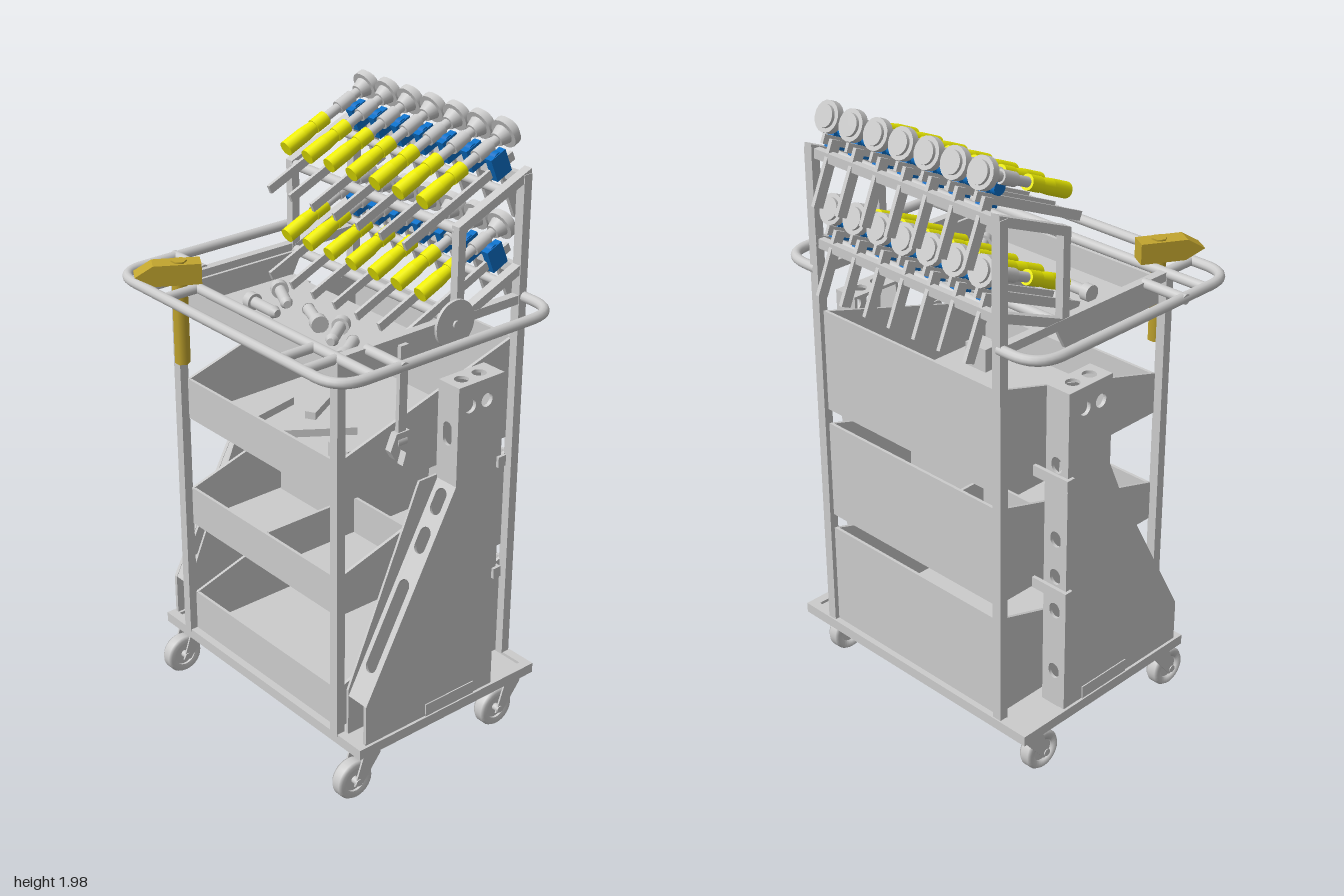
import * as THREE from 'three';

const grey = new THREE.MeshStandardMaterial({ color: 0xcccccc, side: THREE.DoubleSide });
const yellow = new THREE.MeshStandardMaterial({ color: 0xf0f000 });
const blue = new THREE.MeshStandardMaterial({ color: 0x0a70c8 });
const brass = new THREE.MeshStandardMaterial({ color: 0xc2a52e });

const V = (x, y, z) => new THREE.Vector3(x, y, z);

function add(parent, name, geo, pos = [0, 0, 0], mat = grey) {
  const m = new THREE.Mesh(geo, mat);
  m.name = name;
  m.position.set(...pos);
  parent.add(m);
  return m;
}
const box = (p, name, size, pos, mat) => add(p, name, new THREE.BoxGeometry(...size), pos, mat);

// cylinder running from a to b
function rod(p, name, a, b, r, mat = grey, sides = 16, r2 = r) {
  const d = b.clone().sub(a);
  const m = add(p, name, new THREE.CylinderGeometry(r2, r, d.length(), sides), a.clone().add(b).multiplyScalar(0.5).toArray(), mat);
  m.quaternion.setFromUnitVectors(V(0, 1, 0), d.normalize());
  return m;
}

// flat plate from [z, y] points, facing sideways, centred on x
function sidePlate(p, name, pts, x, t, holes = [], mat = grey) {
  const s = new THREE.Shape(pts.map(q => new THREE.Vector2(...q)));
  for (const [z, y, r] of holes) s.holes.push(new THREE.Path().absarc(z, y, r, 0, Math.PI * 2, true));
  const g = new THREE.ExtrudeGeometry(s, { depth: t, bevelEnabled: false });
  g.translate(0, 0, -t / 2).rotateY(-Math.PI / 2);
  return add(p, name, g, [x, 0, 0], mat);
}

// rectangle with rounded slots [centre y, half length, radius]
function slottedPlate(p, name, w, h, slots, pos, tilt) {
  const s = new THREE.Shape([[-w, -h], [w, -h], [w, h], [-w, h]].map(([x, y]) => new THREE.Vector2(x / 2, y / 2)));
  for (const [y, l, r] of slots) {
    const hole = new THREE.Path();
    hole.absarc(0, y + l, r, 0, Math.PI, false);
    hole.absarc(0, y - l, r, Math.PI, Math.PI * 2, false);
    hole.closePath();
    s.holes.push(hole);
  }
  const g = new THREE.ExtrudeGeometry(s, { depth: 0.01, bevelEnabled: false });
  add(p, name, g, pos).rotation.x = tilt;
}

function caster(p, x, z) {
  const c = new THREE.Group();
  c.name = 'caster';
  c.position.set(x, 0, z);
  const tyre = new THREE.LatheGeometry([[0.038, -0.02], [0.058, -0.024], [0.065, -0.014], [0.065, 0.014], [0.058, 0.024], [0.038, 0.02], [0.038, -0.02]]
    .map(q => new THREE.Vector2(...q)), 28).rotateZ(Math.PI / 2);
  add(c, 'tyre', tyre, [0, 0.065, 0]);
  rod(c, 'hub', V(-0.012, 0.065, 0), V(0.012, 0.065, 0), 0.042, grey, 24);
  rod(c, 'axle', V(-0.037, 0.065, 0), V(0.037, 0.065, 0), 0.012);
  for (const s of [-1, 1])
    sidePlate(c, 'forkArm', [[0.015, 0.055], [-0.012, 0.05], [-0.085, 0.14], [-0.085, 0.155], [-0.02, 0.155]], s * 0.031, 0.006);
  box(c, 'forkCrown', [0.068, 0.008, 0.065], [0, 0.152, -0.052]);
  rod(c, 'swivel', V(0, 0.15, -0.05), V(0, 0.18, -0.05), 0.03, grey, 20);
  p.add(c);
}

// open bin with a low front and a higher back
function tray(p, name, y, frontH, backH) {
  const t = new THREE.Group();
  t.name = name;
  const zf = 0.275, zb = -0.41;
  box(t, 'trayFloor', [0.72, 0.01, zf - zb], [0, y + 0.005, (zf + zb) / 2]);
  box(t, 'trayFront', [0.72, frontH, 0.01], [0, y + frontH / 2, zf - 0.005]);
  box(t, 'trayBack', [0.72, backH, 0.01], [0, y + backH / 2, zb + 0.005]);
  for (const s of [-1, 1])
    sidePlate(t, 'traySide', [[zf, y], [zf, y + frontH], [zb, y + backH], [zb, y]], s * 0.36, 0.01);
  p.add(t);
}

function sideCabinet(p, s) {
  const c = new THREE.Group();
  c.name = 'sideCabinet';
  sidePlate(c, 'outerPanel', [[-0.25, 0.2], [-0.25, 1.29], [-0.07, 1.29], [-0.07, 0.97], [0.27, 0.34], [0.27, 0.2]], s * 0.485, 0.012,
    [[-0.117, 1.22, 0.022], [-0.183, 1.22, 0.022]]);
  sidePlate(c, 'innerPanel', [[-0.25, 0.2], [-0.25, 0.98], [0, 0.98], [0.27, 0.36], [0.27, 0.2]], s * 0.405, 0.008);
  slottedPlate(c, 'cabinetTop', 0.085, 0.18, [[0.03, 0, 0.022], [-0.04, 0, 0.022]], [s * 0.447, 1.28, -0.16], -Math.PI / 2);
  slottedPlate(c, 'cabinetBack', 0.085, 1.09, [-0.42, -0.2, -0.08, 0.05, 0.3].map(y => [y, 0.006, 0.02]), [s * 0.447, 0.745, -0.25], 0);
  slottedPlate(c, 'cabinetUpperFront', 0.085, 0.32, [[0, 0.02, 0.018]], [s * 0.447, 1.13, -0.08], 0);
  slottedPlate(c, 'slopedFront', 0.085, 0.716, [[0.295, 0.02, 0.022], [0.17, 0.02, 0.022], [-0.11, 0.13, 0.022]], [s * 0.447, 0.65, 0.09], -0.495);
  box(c, 'lowerClip', [0.008, 0.045, 0.2], [s * 0.491, 0.222, -0.07]);
  for (const y of [0.615, 1.0]) {
    box(c, 'band', [0.14, 0.035, 0.012], [s * 0.43, y, -0.256]);
    box(c, 'bandEnd', [0.012, 0.035, 0.03], [s * 0.495, y, -0.247]);
  }
  p.add(c);
}

// bar clamp, its length running up and towards the back
function clamp(p, x, y) {
  const c = new THREE.Group();
  c.name = 'barClamp';
  c.position.set(x, y, 0);
  c.rotation.x = 0.41;
  const h = 0.065;
  const along = (name, a, b, r, mat, r2) => rod(c, name, V(0, h, -a), V(0, h, -b), r, mat, 18, r2);
  box(c, 'clampBar', [0.011, 0.028, 0.45], [0.02, 0, -0.225]);
  box(c, 'fixedJaw', [0.013, 0.2, 0.036], [0.005, -0.095, -0.415]);
  box(c, 'slidingJaw', [0.026, 0.075, 0.06], [0.03, 0.015, -0.385], blue);
  rod(c, 'slidingJawBoss', V(0, h - 0.03, -0.385), V(0.04, h - 0.03, -0.385), 0.022, blue);
  along('handleGrip', 0.117, 0.19, 0.024, yellow);
  along('handleWaist', 0.19, 0.235, 0.024, yellow, 0.02);
  along('handleCollar', 0.235, 0.285, 0.023, yellow);
  along('screw', 0.28, 0.46, 0.015);
  along('screwNut', 0.34, 0.4, 0.021);
  along('padNeck', 0.425, 0.455, 0.022, grey, 0.032);
  along('pad', 0.455, 0.478, 0.047);
  along('padTip', 0.478, 0.488, 0.034);
  p.add(c);
}

export function createModel() {
  const g = new THREE.Group();
  g.name = 'toolCart';

  // base with casters
  box(g, 'basePlate', [0.96, 0.012, 0.69], [0, 0.186, -0.065]);
  for (const z of [0.285, -0.415]) box(g, 'baseRail', [1.0, 0.034, 0.03], [0, 0.185, z]);
  for (const s of [-1, 1]) {
    box(g, 'baseSideRail', [0.03, 0.034, 0.73], [s * 0.485, 0.185, -0.065]);
    caster(g, s * 0.445, 0.285);
    caster(g, s * 0.445, -0.31);
    sideCabinet(g, s);
    // uprights and the sloped rack frame
    box(g, 'frontPost', [0.032, 1.25, 0.03], [s * 0.378, 0.82, 0.287]);
    box(g, 'backPost', [0.032, 1.63, 0.03], [s * 0.378, 1.015, -0.41]);
    box(g, 'rackPost', [0.028, 0.28, 0.028], [s * 0.376, 1.58, -0.16]);
    box(g, 'topSideBeam', [0.028, 0.028, 0.7], [s * 0.378, 1.445, -0.06]);
    for (const y of [0, -0.28])
      sidePlate(g, 'slopedBeam', [[-0.145, 1.70 + y], [-0.145, 1.73 + y], [-0.425, 1.845 + y], [-0.425, 1.815 + y]], s * 0.376, 0.03);
    rod(g, 'sideStub', V(s * 0.54, 1.45, 0.185), V(s * 0.38, 1.45, 0.185), 0.016);
    for (const x of [0.275, 0.375]) rod(g, 'frontStub', V(s * x, 1.45, 0.285), V(s * x, 1.45, 0.41), 0.015);
  }
  for (const y of [0, -0.28]) {
    rod(g, 'rackFrontRail', V(-0.37, 1.715 + y, -0.16), V(0.37, 1.715 + y, -0.16), 0.016);
    rod(g, 'rackMiddleRail', V(-0.37, 1.79 + y, -0.335), V(0.37, 1.79 + y, -0.335), 0.014);
    box(g, 'rackBackRail', [0.74, 0.03, 0.022], [0, 1.815 + y, -0.405]);
  }

  // hand rail around the top
  const path = new THREE.CurvePath();
  const r = 0.1, X = 0.527, F = 0.408, B = -0.415, Y = 1.45;
  const line = (a, b) => path.add(new THREE.LineCurve3(a, b));
  const bend = (a, b, c) => path.add(new THREE.QuadraticBezierCurve3(a, b, c));
  line(V(-0.38, Y, B), V(-X + r, Y, B));
  bend(V(-X + r, Y, B), V(-X, Y, B), V(-X, Y, B + r));
  line(V(-X, Y, B + r), V(-X, Y, F - r));
  bend(V(-X, Y, F - r), V(-X, Y, F), V(-X + r, Y, F));
  line(V(-X + r, Y, F), V(X - r, Y, F));
  bend(V(X - r, Y, F), V(X, Y, F), V(X, Y, F - r));
  line(V(X, Y, F - r), V(X, Y, B + r));
  bend(V(X, Y, B + r), V(X, Y, B), V(X - r, Y, B));
  line(V(X - r, Y, B), V(0.38, Y, B));
  add(g, 'handRail', new THREE.TubeGeometry(path, 160, 0.016, 12));
  rod(g, 'crossRail', V(-X, Y, 0.285), V(X, Y, 0.285), 0.016);

  // bins and shallow top tray
  tray(g, 'lowerTray', 0.2, 0.14, 0.35);
  tray(g, 'middleTray', 0.6, 0.13, 0.33);
  tray(g, 'upperTray', 0.98, 0.135, 0.335);
  box(g, 'trayDivider', [0.01, 0.13, 0.66], [0.02, 0.67, -0.065]);
  box(g, 'trayCrossDivider', [0.7, 0.13, 0.01], [0, 0.67, -0.08]);
  box(g, 'topTrayFloor', [0.72, 0.01, 0.41], [0, 1.355, 0.07]);
  box(g, 'topTrayFront', [0.72, 0.085, 0.012], [0, 1.393, 0.272]);
  for (const s of [-1, 1])
    sidePlate(g, 'topTraySide', [[0.275, 1.35], [0.275, 1.435], [-0.18, 1.435], [-0.135, 1.35]], s * 0.36, 0.012);

  // loose tools: [head x, head z, tip x, tip z]
  for (const [a, b, c, d] of [[-0.25, 0, -0.125, 0.065], [0.055, 0.085, -0.075, 0.03], [0.085, 0.025, 0.17, 0.14],
    [0.28, 0.19, 0.195, 0.07], [-0.23, 0.128, -0.09, 0.13]]) {
    const h = V(a, 1.385, b), t = V(c, 1.385, d), at = k => h.clone().lerp(t, k);
    rod(g, 'boltHead', h, at(0.2), 0.027);
    rod(g, 'boltShank', at(0.2), at(0.88), 0.018);
    rod(g, 'boltTip', at(0.88), t, 0.02, grey, 16, 0.012);
  }
  for (const [x, z, turn] of [[-0.15, -0.1, 0.5], [0.0, 0.05, -0.6], [-0.2, 0.1, 0.2]])
    box(g, 'looseBar', [0.035, 0.025, 0.24], [x, 1.005, z]).rotation.y = turn;
  box(g, 'looseBlock', [0.09, 0.08, 0.07], [0.22, 1.03, 0.12]);

  // two rows of clamps
  for (const y of [1.69, 1.41]) for (let i = -3; i <= 3; i++) clamp(g, i * 0.102 - 0.003, y);

  // hammer hung on the front rail
  const hammer = new THREE.Group();
  hammer.name = 'hammer';
  hammer.position.set(-0.32, 0, 0.32);
  hammer.rotation.y = -0.53;
  sidePlate(hammer, 'hammerHead', [[-0.065, 1.465], [-0.065, 1.53], [0.08, 1.53], [0.135, 1.497], [0.075, 1.465]], 0, 0.06, [], brass);
  rod(hammer, 'hammerHandle', V(0, 1.2, 0), V(0, 1.535, 0), 0.024, brass, 6);
  g.add(hammer);

  // wrench and disc hung on the left side
  sidePlate(g, 'wrenchHandle', [[0.085, 1.44], [0.055, 1.44], [0.06, 1.15], [0.09, 1.15]], 0.405, 0.014);
  sidePlate(g, 'wrenchHead', [[0.05, 1.17], [0.1, 1.17], [0.122, 1.12], [0.105, 1.09], [0.088, 1.12], [0.062, 1.1], [0.075, 1.06], [0.04, 1.055], [0.02, 1.09]], 0.405, 0.024);
  rod(g, 'wrenchScrew', V(0.405, 1.14, 0.06), V(0.405, 1.14, 0.095), 0.016);
  rod(g, 'disc', V(0.395, 1.445, -0.13), V(0.405, 1.445, -0.13), 0.074, grey, 32);
  rod(g, 'discPin', V(0.38, 1.445, -0.13), V(0.412, 1.445, -0.13), 0.012);
  return g;
}
